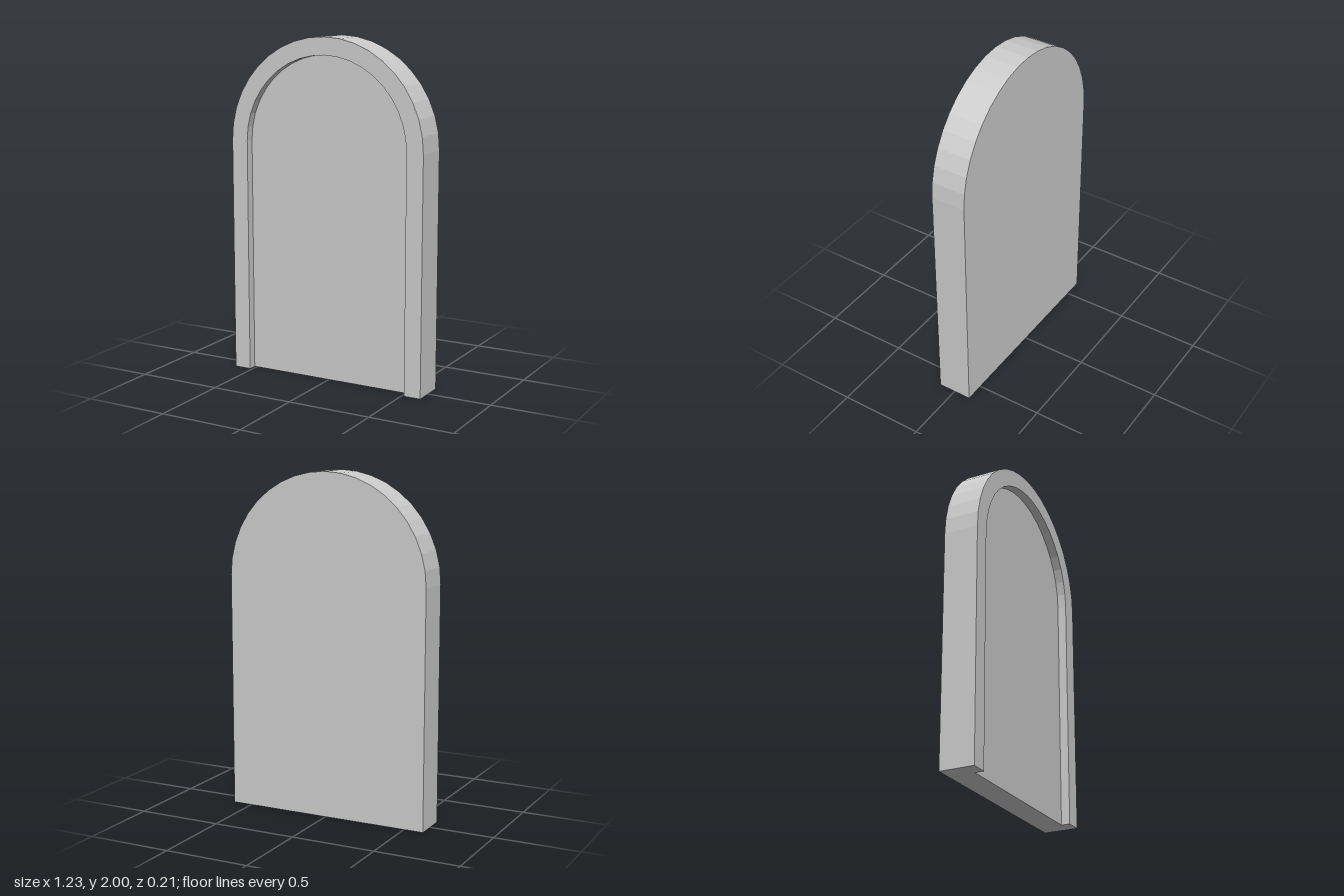
import * as THREE from 'three';

const SPRING = 1.383; // height where the arch begins
const OUTER = 0.617;
const INNER = 0.515;
const HALF_DEPTH = 0.103;
const RECESS = 0.052;

export function createModel() {
  const group = new THREE.Group();
  group.name = 'archedNiche';
  const stone = new THREE.MeshStandardMaterial({ color: 0xcccccc, flatShading: true });
  stone.name = 'plain grey';

  // Extrude a shape from z0 to z1; ten divisions give a 20-sided half circle
  const addPart = (name, shape, z0, z1) => {
    const geometry = new THREE.ExtrudeGeometry(shape, {
      depth: z1 - z0, bevelEnabled: false, curveSegments: 10,
    });
    geometry.translate(0, 0, z0);
    const mesh = new THREE.Mesh(geometry, stone);
    mesh.name = name;
    group.add(mesh);
  };

  // Solid arched back slab
  const slab = new THREE.Shape();
  slab.moveTo(-OUTER, 0);
  slab.lineTo(OUTER, 0);
  slab.lineTo(OUTER, SPRING);
  slab.absarc(0, SPRING, OUTER, 0, Math.PI, false);
  slab.closePath();
  addPart('backSlab', slab, -HALF_DEPTH, HALF_DEPTH - RECESS);

  // Raised arched border, open at the bottom
  const border = new THREE.Shape();
  border.moveTo(INNER, 0);
  border.lineTo(OUTER, 0);
  border.lineTo(OUTER, SPRING);
  border.absarc(0, SPRING, OUTER, 0, Math.PI, false);
  border.lineTo(-OUTER, 0);
  border.lineTo(-INNER, 0);
  border.lineTo(-INNER, SPRING);
  border.absarc(0, SPRING, INNER, Math.PI, 0, true);
  border.closePath();
  addPart('archBorder', border, HALF_DEPTH - RECESS, HALF_DEPTH);

  return group;
}
